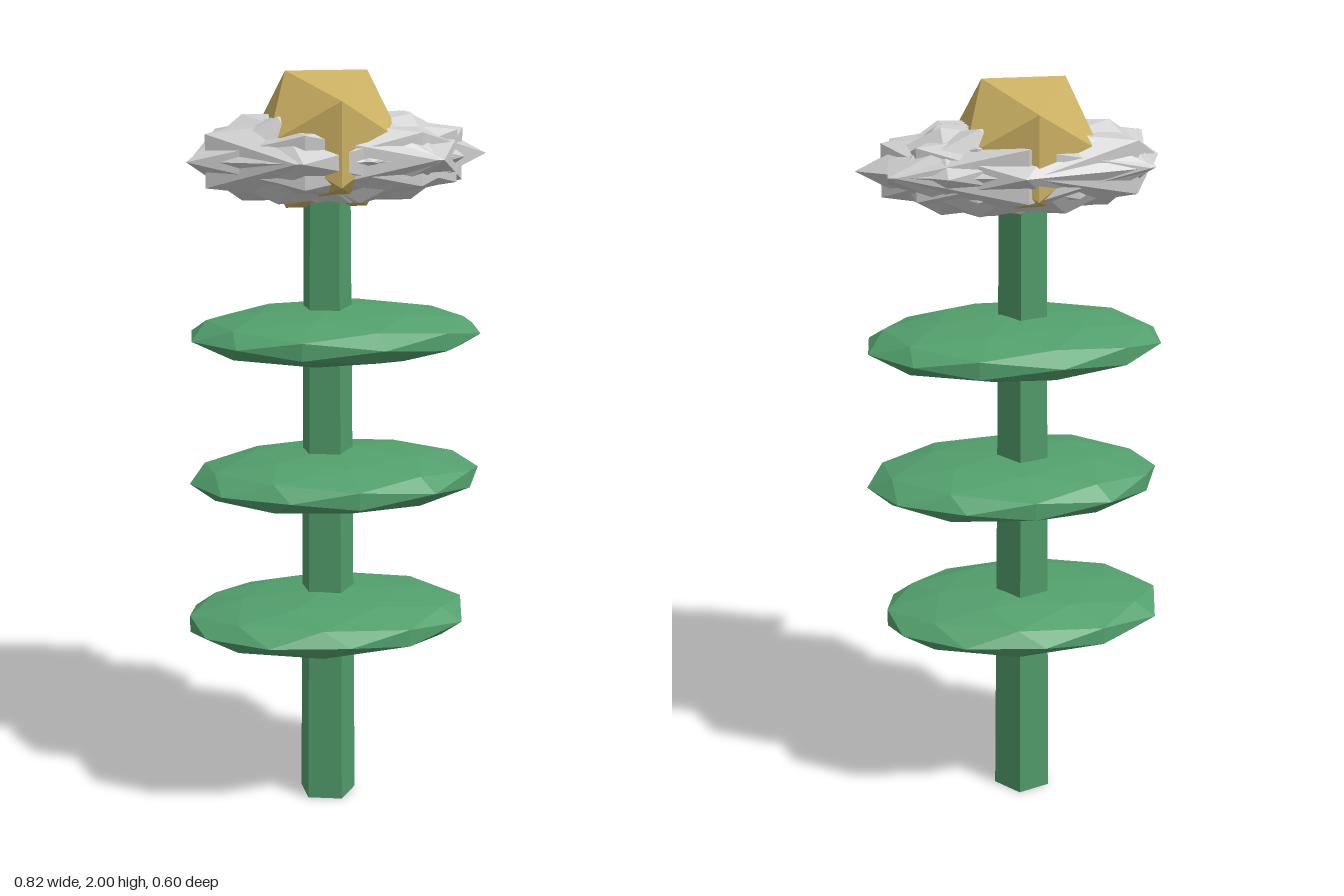
import * as THREE from 'three';

const CX = -0.015, CZ = -0.008; // stem axis

const mat = (color) => new THREE.MeshStandardMaterial({ color, flatShading: true });

function part(name, geometry, material, x, y, z) {
  const mesh = new THREE.Mesh(geometry, material);
  mesh.name = name;
  mesh.position.set(x, y, z);
  return mesh;
}

export function createModel() {
  const model = new THREE.Group();
  model.name = 'flower';
  const green = mat(0x509a69), leafGreen = mat(0x529f6c), gold = mat(0xcbb062), grey = mat(0xcccccc);

  // Five-sided tapering stem with one edge facing +x
  const stem = new THREE.CylinderGeometry(0.064, 0.08, 1.78, 5).rotateY(Math.PI / 2);
  model.add(part('stem', stem, green, CX, 0.89, CZ));

  // Three flattened faceted leaves: x, y, z, turn in degrees
  const leaves = [
    [-0.02, 0.535, 0.017, 58.3],
    [0.008, 0.925, 0.007, 31.7],
    [0.01, 1.315, -0.012, 9.5],
  ];
  leaves.forEach(([x, y, z, turn]) => {
    const leaf = new THREE.IcosahedronGeometry(1, 1)
      .rotateY(THREE.MathUtils.degToRad(turn))
      .scale(0.4, 0.075, 0.285);
    model.add(part('leaf', leaf, leafGreen, x, y, z));
  });

  // Spiky blossom: overlapping icosahedra turned around the axis, then squashed
  const petals = new THREE.Group();
  petals.name = 'petals';
  const count = 10;
  for (let i = 0; i < count; i++) {
    const a = (i / count) * Math.PI * 2;
    const petal = new THREE.IcosahedronGeometry(1, 0)
      .rotateY(i * 1.11 + 0.55)
      .translate(0.1 * Math.cos(a), 0, 0.1 * Math.sin(a))
      .scale(0.38, 0.13, 0.18);
    petals.add(part('petal', petal, grey, 0, 1.78, CZ));
  }
  model.add(petals);

  // Golden flower centre
  model.add(part('flowerCentre', new THREE.IcosahedronGeometry(0.206, 0), gold, CX, 1.825, CZ));

  return model;
}
